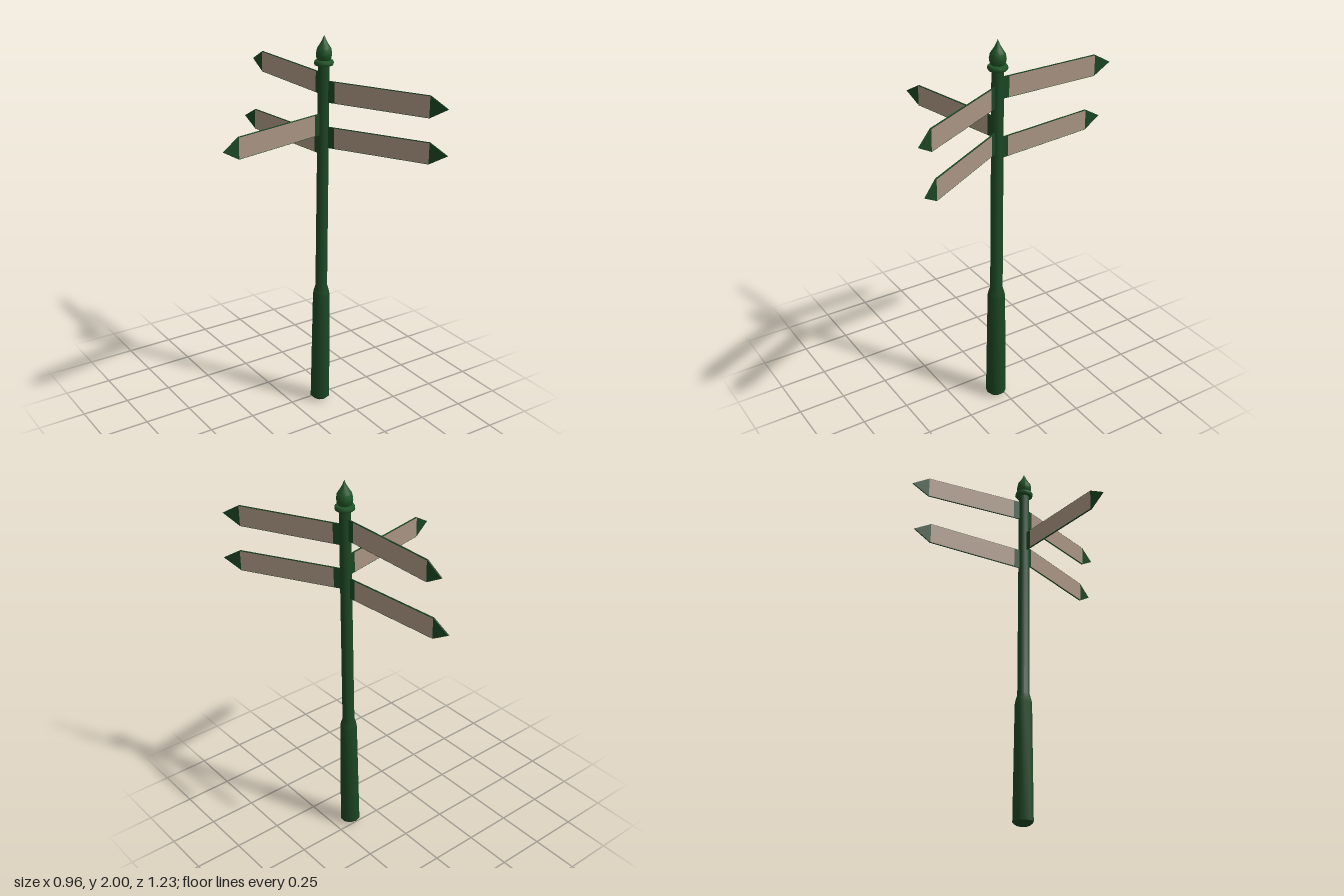
import * as THREE from 'three';
import { toCreasedNormals } from 'three/addons/utils/BufferGeometryUtils.js';

const green = new THREE.MeshStandardMaterial({ color: 0x1b4423 });
const brightGreen = new THREE.MeshStandardMaterial({ color: 0x1f5226 });
const cream = new THREE.MeshStandardMaterial({ color: 0xa89482 });

function addMesh(parent, name, geometry, material) {
  const mesh = new THREE.Mesh(geometry, material);
  mesh.name = name;
  parent.add(mesh);
  return mesh;
}

// Low-sided turned part from [radius, height] pairs, bottom to top
function turned(points) {
  const lathe = new THREE.LatheGeometry(points.map(([r, y]) => new THREE.Vector2(r, y)), 10);
  return toCreasedNormals(lathe, 0.7);
}

// Arrow board running along +x from the pole axis, with a pale panel on each face
function makeSign(name) {
  const sign = new THREE.Group();
  sign.name = name;
  const length = 0.652, neck = 0.56, half = 0.054, thick = 0.007;
  const outline = new THREE.Shape();
  outline.moveTo(0, -half);
  outline.lineTo(neck, -half);
  outline.lineTo(length, 0);
  outline.lineTo(neck, half);
  outline.lineTo(0, half);
  outline.closePath();
  const board = new THREE.ExtrudeGeometry(outline, { depth: thick, bevelEnabled: false });
  board.translate(0, 0, -thick / 2);
  addMesh(sign, 'arrowBoard', board, green);

  const start = 0.062;
  for (const side of [1, -1]) {
    const panel = addMesh(sign, side > 0 ? 'frontPanel' : 'backPanel',
      new THREE.PlaneGeometry(neck - start, half * 2 - 0.005), cream);
    panel.position.set((start + neck) / 2, 0, side * (thick / 2 + 0.0006));
    if (side < 0) panel.rotation.y = Math.PI;
  }
  return sign;
}

export function createModel() {
  const model = new THREE.Group();
  model.name = 'signpost';
  const post = new THREE.Group();
  post.name = 'post';
  post.position.set(0.157, 0, 0.037);
  model.add(post);

  // Thick tapered base narrowing into a slim pole
  addMesh(post, 'pole', turned([
    [0, 0], [0.036, 0.007], [0.053, 0.022], [0.045, 0.63], [0.041, 0.65],
    [0.032, 0.68], [0.029, 1.865], [0, 1.865],
  ]), green);

  // Collar ring and pointed finial
  addMesh(post, 'collar', turned([
    [0.028, 1.852], [0.046, 1.855], [0.05, 1.865], [0.046, 1.876], [0.028, 1.881],
  ]), brightGreen);
  addMesh(post, 'finial', turned([
    [0.03, 1.876], [0.038, 1.89], [0.041, 1.91], [0.036, 1.935],
    [0.024, 1.952], [0.012, 1.972], [0, 2],
  ]), brightGreen);

  // Signs: name, height of centre line, tip x and z
  const signs = [
    ['upperFrontSign', 1.725, 0.453, 0.613],
    ['lowerFrontSign', 1.494, 0.475, 0.605],
    ['rightSign', 1.562, -0.48, 0.173],
    ['upperBackSign', 1.76, 0.15, -0.62],
    ['lowerBackSign', 1.455, 0.092, -0.615],
  ];
  for (const [name, y, x, z] of signs) {
    const sign = makeSign(name);
    sign.position.y = y;
    sign.rotation.y = Math.atan2(-(z - post.position.z), x - post.position.x);
    post.add(sign);
  }
  return model;
}
